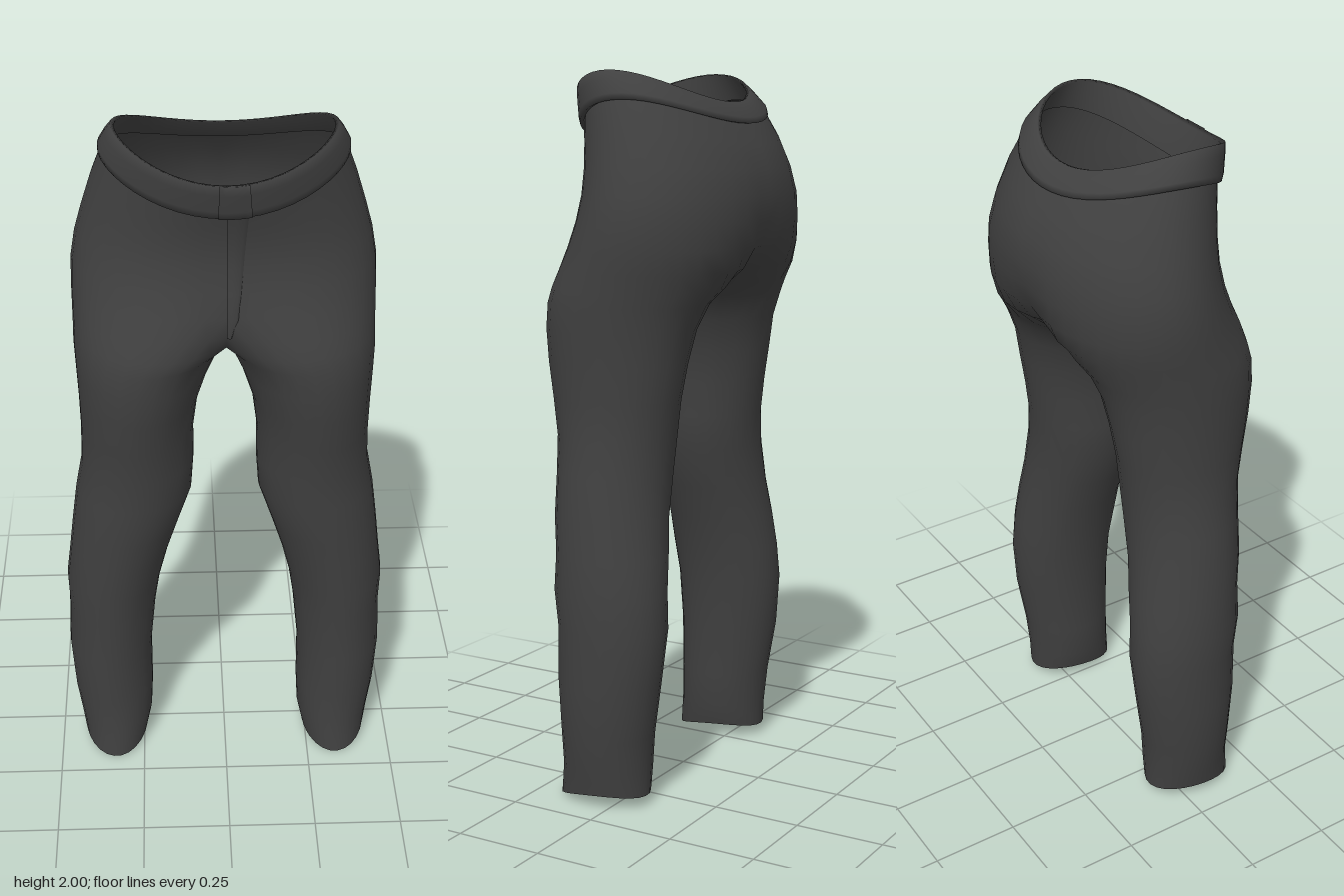
import * as THREE from 'three';
import { mergeVertices } from 'three/addons/utils/BufferGeometryUtils.js';

const OUT = 20, INN = 8; // columns round the outer and the inner side of a leg

// Cross-sections, hem to waist:
// [y, outer x, inner x, front z, back z, rise at the side, rise at the back]
// A negative inner x means the two sides have merged at the centre line.
const LEG = [
  [0.00, 0.43, 0.24, 0.19, -0.08, 0.02, 0.03],
  [0.10, 0.44, 0.225, 0.18, -0.082],
  [0.20, 0.455, 0.22, 0.18, -0.09],
  [0.35, 0.466, 0.22, 0.185, -0.115],
  [0.50, 0.461, 0.205, 0.19, -0.13],
  [0.60, 0.463, 0.19, 0.203, -0.122],
  [0.70, 0.45, 0.165, 0.206, -0.113],
  [0.80, 0.438, 0.135, 0.22, -0.10],
  [0.92, 0.422, 0.095, 0.226, -0.095],
  [1.02, 0.403, 0.088, 0.234, -0.102],
  [1.12, 0.40, 0.088, 0.25, -0.115],
  [1.22, 0.402, 0.075, 0.268, -0.133],
  [1.31, 0.406, 0.045, 0.28, -0.15],
  [1.38, 0.41, 0.01, 0.28, -0.178],
  [1.42, 0.41, -0.05, 0.277, -0.203],
];
const HIPS = [
  LEG[LEG.length - 1],
  [1.47, 0.411, -0.12, 0.265, -0.235],
  [1.53, 0.412, -0.21, 0.248, -0.26],
  [1.60, 0.41, -0.29, 0.23, -0.272],
  [1.67, 0.398, -0.34, 0.222, -0.277],
  [1.73, 0.377, -0.36, 0.226, -0.266, 0.01, 0.01],
  [1.78, 0.347, -0.345, 0.236, -0.238, 0.05, 0.025],
  [1.82, 0.317, -0.317, 0.247, -0.20, 0.085, 0.04],
];

// Waistband profile as a closed strip, in the same terms
const BAND = [
  [1.82, 0.314, -0.314, 0.244, -0.197, 0.085, 0.04],
  [1.822, 0.326, -0.326, 0.258, -0.208, 0.08, 0.038],
  [1.842, 0.325, -0.325, 0.264, -0.204, 0.079, 0.034],
  [1.89, 0.306, -0.306, 0.274, -0.177, 0.08, 0.012],
  [1.918, 0.29, -0.29, 0.279, -0.157, 0.082, 0],
  [1.915, 0.28, -0.28, 0.265, -0.147, 0.08, 0],
  [1.82, 0.308, -0.308, 0.238, -0.19, 0.085, 0.04],
];

function section([y, xo, xi, zf, zb, side = 0, back = 0]) {
  const cx = (xo + xi) / 2, rx = (xo - xi) / 2, cz = (zf + zb) / 2, rz = (zf - zb) / 2;
  const wrap = Math.min(0.9, Math.asin(Math.min(1, cx / rx)));
  const at = (a) => [
    cx + rx * Math.sin(a),
    y + side * Math.sin(a) ** 2 + back * (1 - Math.cos(a)) / 2,
    cz + rz * Math.cos(a),
  ];
  return { at, wrap, cx, rx };
}

// Skin a list of equally long point rows
function skin(rows, positions, indices, flip = false) {
  const n = rows[0].length, base = positions.length / 3;
  rows.flat().forEach(([x, y, z]) => positions.push(flip ? -x : x, y, z));
  for (let r = 0; r < rows.length - 1; r++) {
    for (let j = 0; j < n - 1; j++) {
      const a = base + r * n + j, b = a + 1, d = a + n, c = d + 1;
      indices.push(...(flip ? [a, d, b, b, d, c] : [a, b, d, b, c, d]));
    }
  }
}

function toGeometry(positions, indices) {
  let g = new THREE.BufferGeometry();
  g.setAttribute('position', new THREE.Float32BufferAttribute(positions, 3));
  g.setIndex(indices);
  g = mergeVertices(g, 1e-4);
  g.computeVertexNormals();
  return g;
}

// Both legs and the seat as one welded skin
function trouserGeometry() {
  const snap = ([x, y, z]) => [x < 1e-3 ? 0 : x, y, z];
  const outer = (row) => {
    const { at, wrap } = section(row);
    return Array.from({ length: OUT + 1 }, (_, j) =>
      snap(at(-wrap + (j / OUT) * (Math.PI + 2 * wrap))));
  };
  const inner = (row, i) => {
    const { at, wrap } = section(row);
    return Array.from({ length: INN + 1 }, (_, j) => {
      const p = snap(at(Math.PI + wrap + (j / INN) * (Math.PI - 2 * wrap)));
      if (i === LEG.length - 1) { // crotch seam sags on the centre line
        p[0] = 0;
        p[1] -= 0.025 * Math.sin((j / INN) * Math.PI);
      }
      return p;
    });
  };
  const positions = [], indices = [];
  for (const flip of [false, true]) {
    skin(LEG.map(outer), positions, indices, flip);
    skin(LEG.map(inner), positions, indices, flip);
    skin(HIPS.map(outer), positions, indices, flip);
  }
  return toGeometry(positions, indices);
}

// Sweep of the band profile between two angles (0 = front centre)
function bandGeometry(profile, from, to, steps, push = 0) {
  const rows = profile.map((row) => {
    const { at } = section(row);
    return Array.from({ length: steps + 1 }, (_, j) => {
      const [x, y, z] = at(from + (j / steps) * (to - from));
      return [x, y, z + push];
    });
  });
  const positions = [], indices = [];
  skin(rows, positions, indices);
  return toGeometry(positions, indices);
}

// Thin flap following the front seam, tapering towards the crotch
function flyGeometry() {
  const rows = HIPS.slice(1).map((row, i, all) => {
    const s = section(row), width = 0.012 + 0.043 * Math.sqrt(i / (all.length - 1));
    return [0, 0.4, 0.8, 1].map((k) => {
      const x = k * width;
      const [, y, z] = s.at(Math.asin(Math.max(-1, Math.min(1, (x - s.cx) / s.rx))));
      return [x, y, z + (k === 1 ? 0 : 0.006)];
    });
  });
  const positions = [], indices = [];
  skin(rows, positions, indices);
  return toGeometry(positions, indices);
}

export function createModel() {
  const model = new THREE.Group();
  model.name = 'trousers';
  const cloth = new THREE.MeshStandardMaterial({ color: 0x404040, side: THREE.DoubleSide });
  cloth.name = 'charcoal cloth';
  const add = (name, geometry) => {
    const mesh = new THREE.Mesh(geometry, cloth);
    mesh.name = name;
    model.add(mesh);
  };
  add('legsAndSeat', trouserGeometry());
  add('waistband', bandGeometry(BAND, 0, Math.PI * 2, 48));
  add('waistbandOverlap', bandGeometry(BAND.slice(0, 6), -0.07, 0.19, 5, 0.005));
  add('fly', flyGeometry());
  return model;
}
